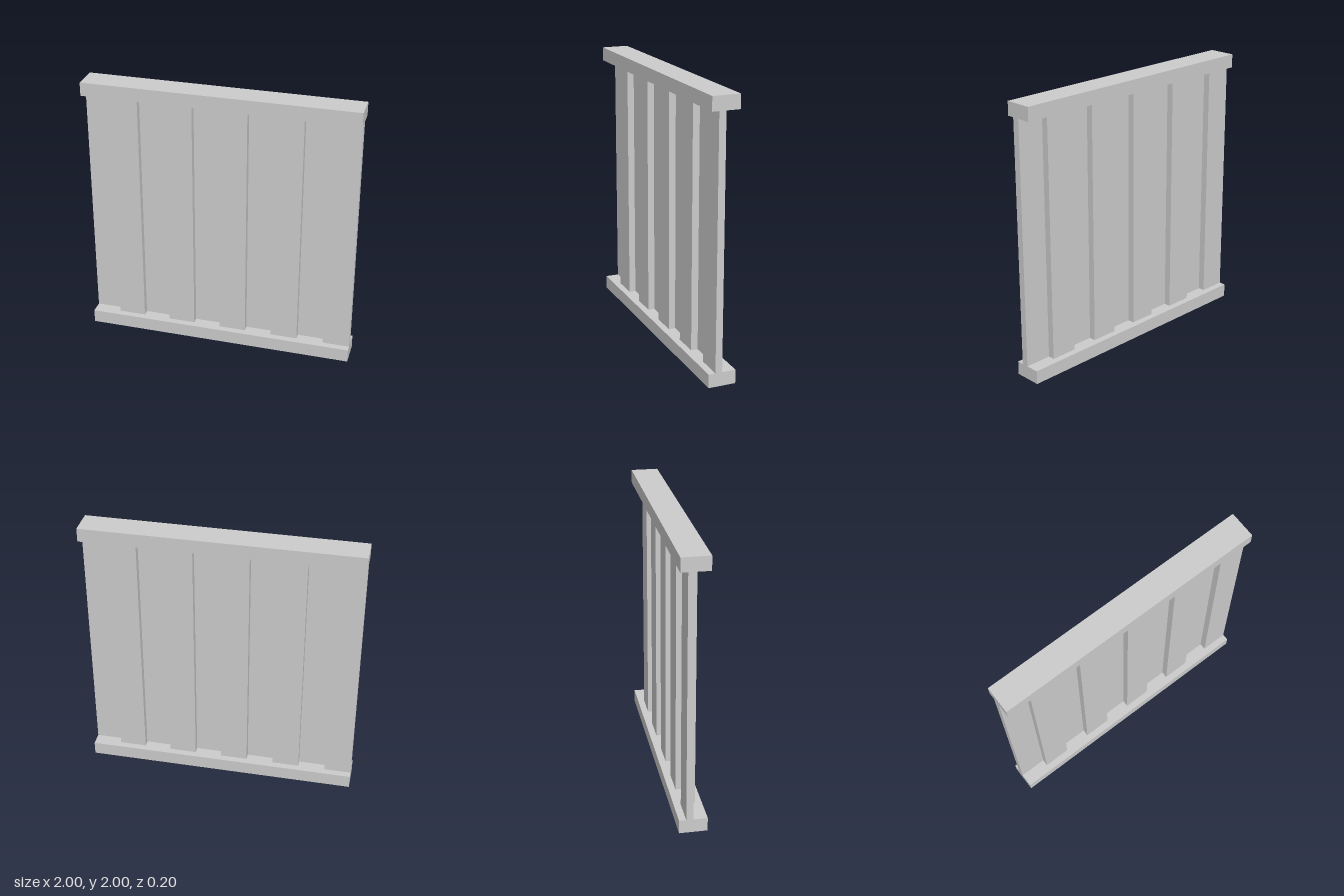
import * as THREE from 'three';

export function createModel() {
  const model = new THREE.Group();
  model.name = 'boardFence';
  const material = new THREE.MeshStandardMaterial({ color: 0xcccccc, flatShading: true });

  const addBox = (name, size, position) => {
    const mesh = new THREE.Mesh(new THREE.BoxGeometry(...size), material);
    mesh.name = name;
    mesh.position.set(...position);
    model.add(mesh);
  };

  // Rails along the bottom and top
  const rail = 0.1;
  addBox('bottomRail', [2, rail, 0.2], [0, rail / 2, 0]);
  addBox('topRail', [2, rail, 0.2], [0, 2 - rail / 2, 0]);

  // Upright boards, alternately set behind and in front of the centre plane
  const count = 10, width = 2 / count, thickness = 0.05;
  for (let i = 0; i < count; i++) {
    const isFront = i % 2 === 1;
    addBox(
      `${isFront ? 'front' : 'back'}Board${i + 1}`,
      [width, 2 - 2 * rail, thickness],
      [-1 + width * (i + 0.5), 1, (isFront ? 1 : -1) * thickness / 2]
    );
  }
  return model;
}
